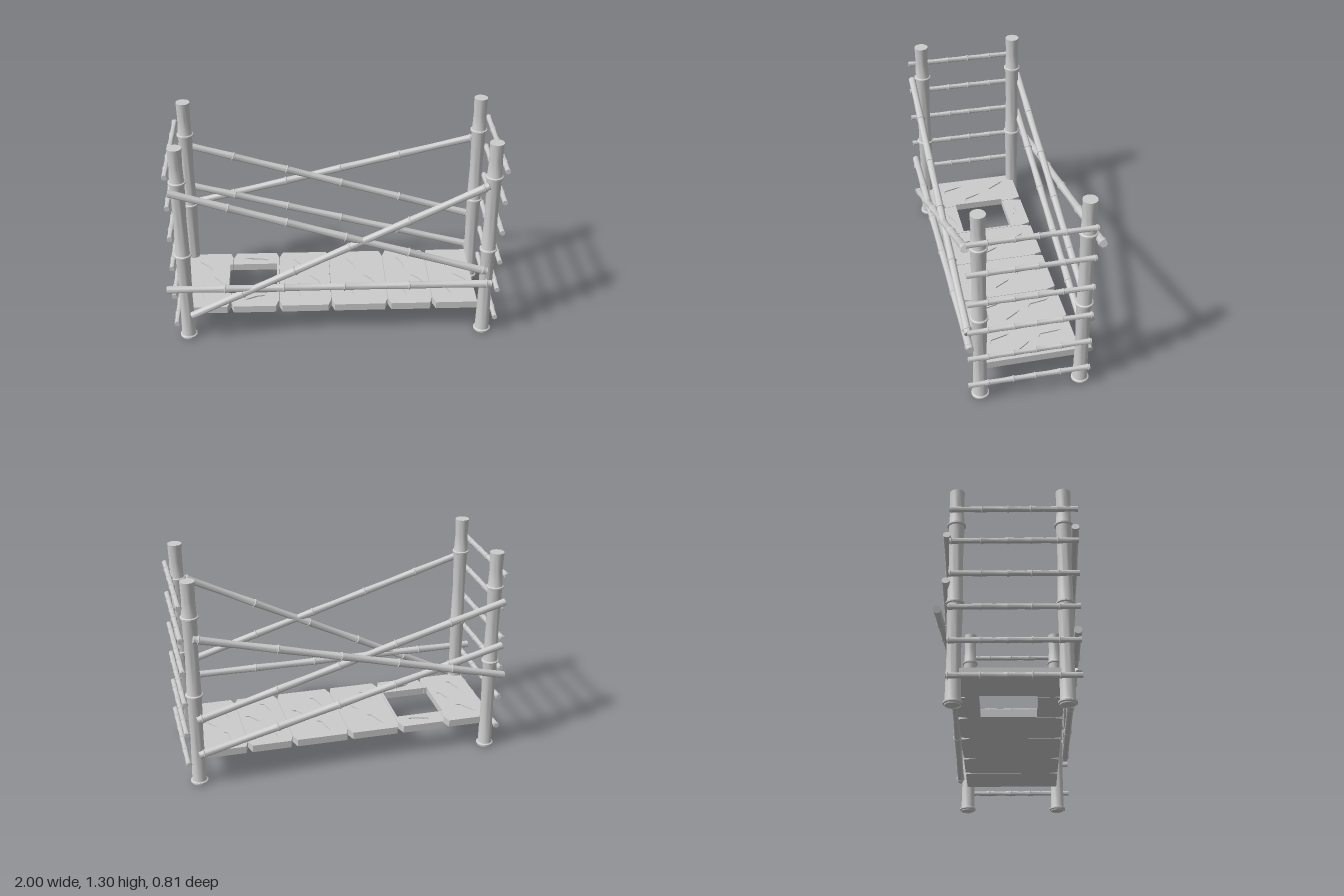
import * as THREE from 'three';
import { toCreasedNormals } from 'three/addons/utils/BufferGeometryUtils.js';

const material = new THREE.MeshStandardMaterial({ color: 0xcccccc });

// Bamboo cane from a to b, swelling into a ring at each node (fractions of its length)
function cane(name, a, b, r, nodes, sides = 16) {
  const start = new THREE.Vector3(...a);
  const dir = new THREE.Vector3(...b).sub(start);
  const len = dir.length();
  const w = r * 0.22; // half height of a ring
  const pts = [[0, 0], [r * 1.03, 0]];
  let prev = 0;
  for (const f of nodes) {
    const y = f * len;
    pts.push([r * 0.94, (prev + y) / 2], [r * 1.06, y - w * 1.6], [r * 1.08, y - w],
      [r * 1.27, y - w * 0.5], [r * 1.27, y + w * 0.5], [r * 1.08, y + w], [r * 1.04, y + w * 1.6]);
    prev = y;
  }
  pts.push([r * 0.95, (prev + len) / 2], [r * 1.03, len], [0, len]);
  const geo = new THREE.LatheGeometry(pts.map(p => new THREE.Vector2(...p)), sides);
  const mesh = new THREE.Mesh(toCreasedNormals(geo, 0.6), material);
  mesh.name = name;
  mesh.position.copy(start);
  mesh.quaternion.setFromUnitVectors(new THREE.Vector3(0, 1, 0), dir.normalize());
  return mesh;
}

// Flat slab from an outline in x and z, with its top at the given height
function slab(outline, holes, top, depth) {
  const shape = new THREE.Shape(outline.map(p => new THREE.Vector2(...p)));
  for (const h of holes) shape.holes.push(new THREE.Path(h.map(p => new THREE.Vector2(...p))));
  const geo = new THREE.ExtrudeGeometry(shape, { depth, bevelEnabled: false });
  geo.rotateX(Math.PI / 2).translate(0, top, 0);
  return new THREE.Mesh(geo, material);
}

// Angular sliver used as a shallow crack
function crack(x, z, length, width, angle) {
  const c = Math.cos(angle), s = Math.sin(angle);
  return [[-0.5, 0], [0.1, -0.5], [0.5, -0.3], [0.35, 0.4]].map(([u, v]) =>
    [x + u * length * c - v * width * s, z + u * length * s + v * width * c]);
}

export function createModel() {
  const model = new THREE.Group();
  model.name = 'bambooScaffold';

  // Corner posts
  for (const x of [-0.895, 0.92]) {
    for (const z of [-0.285, 0.312]) {
      model.add(cane('post', [x, 0, z], [x, 1.3, z], 0.041, [0.008, 0.454, 0.832], 24));
    }
  }

  // Ladder rungs at both ends
  for (const x of [-0.955, 0.98]) {
    for (const y of [0.14, 0.343, 0.542, 0.745, 0.95, 1.153]) {
      model.add(cane('rung', [x, y, 0.39], [x, y, -0.322], 0.0155, [0.16, 0.365, 0.545, 0.75, 0.985], 12));
    }
  }

  // Rail and crossed braces: start, end
  const nodes = [0.18, 0.36, 0.545, 0.745, 0.985];
  const poles = [
    ['frontRail', [-1, 0.38, 0.37], [0.945, 0.378, 0.37]],
    ['frontBrace', [-0.945, 1.045, 0.374], [0.91, 0.47, 0.374]],
    ['frontBrace', [-0.86, 0.19, 0.374], [0.885, 1.055, 0.374]],
    ['backBrace', [-0.945, 0.997, -0.335], [0.915, 0.445, -0.335]],
    ['backBrace', [-0.945, 0.71, -0.335], [0.915, 0.21, -0.335]],
    ['backBrace', [-0.95, 0.53, -0.377], [0.915, 0.985, -0.377]],
  ];
  for (const [name, a, b] of poles) model.add(cane(name, a, b, 0.0215, nodes));

  // Deck of planks with notched joints and a square hatch
  const deck = new THREE.Group();
  deck.name = 'deck';
  const joints = [-0.92, -0.632, -0.335, -0.013, 0.335, 0.61, 0.882];
  const zBack = -0.287, zFront = 0.305, notch = 0.055, half = 0.018, gap = 0.0015;
  for (let i = 0; i < 6; i++) {
    const x0 = joints[i] + (i > 0 ? gap : 0), x1 = joints[i + 1] - (i < 5 ? gap : 0);
    const l = i > 0 ? half : 0, r = i < 5 ? half : 0;
    const outline = [[x0 + l, zBack], [x1 - r, zBack], [x1, zBack + notch]];
    if (i === 0) outline.push([x1, -0.16], [-0.65, -0.16], [-0.65, 0.16], [x1, 0.16]);
    outline.push([x1, zFront - notch], [x1 - r, zFront], [x0 + l, zFront], [x0, zFront - notch]);
    if (i === 1) outline.push([x0, 0.16], [-0.35, 0.16], [-0.35, -0.16], [x0, -0.16]);
    outline.push([x0, zBack + notch]);

    // Cracks cut only through the thin top layer
    const w = x1 - x0, mid = (x0 + x1) / 2, cracks = [];
    if (i === 1) {
      cracks.push(crack(mid, -0.215, 0.16, 0.03, 0.2), crack(mid, 0.215, 0.14, 0.03, -0.3));
    } else {
      cracks.push(crack(mid - w * 0.12, -0.15, 0.15, 0.03, 0.9 + i * 0.1),
        crack(mid + w * 0.2, 0.03, 0.13, 0.025, 1.1 - i * 0.05),
        crack(mid - w * 0.18, 0.15, 0.14, 0.03, 1.2));
    }
    const plank = new THREE.Group();
    plank.name = 'plank';
    plank.add(slab(outline, [], 0.192, 0.037), slab(outline, cracks, 0.2, 0.008));
    plank.children[0].name = 'plankBody';
    plank.children[1].name = 'crackedTop';
    deck.add(plank);
  }
  model.add(deck);
  return model;
}
